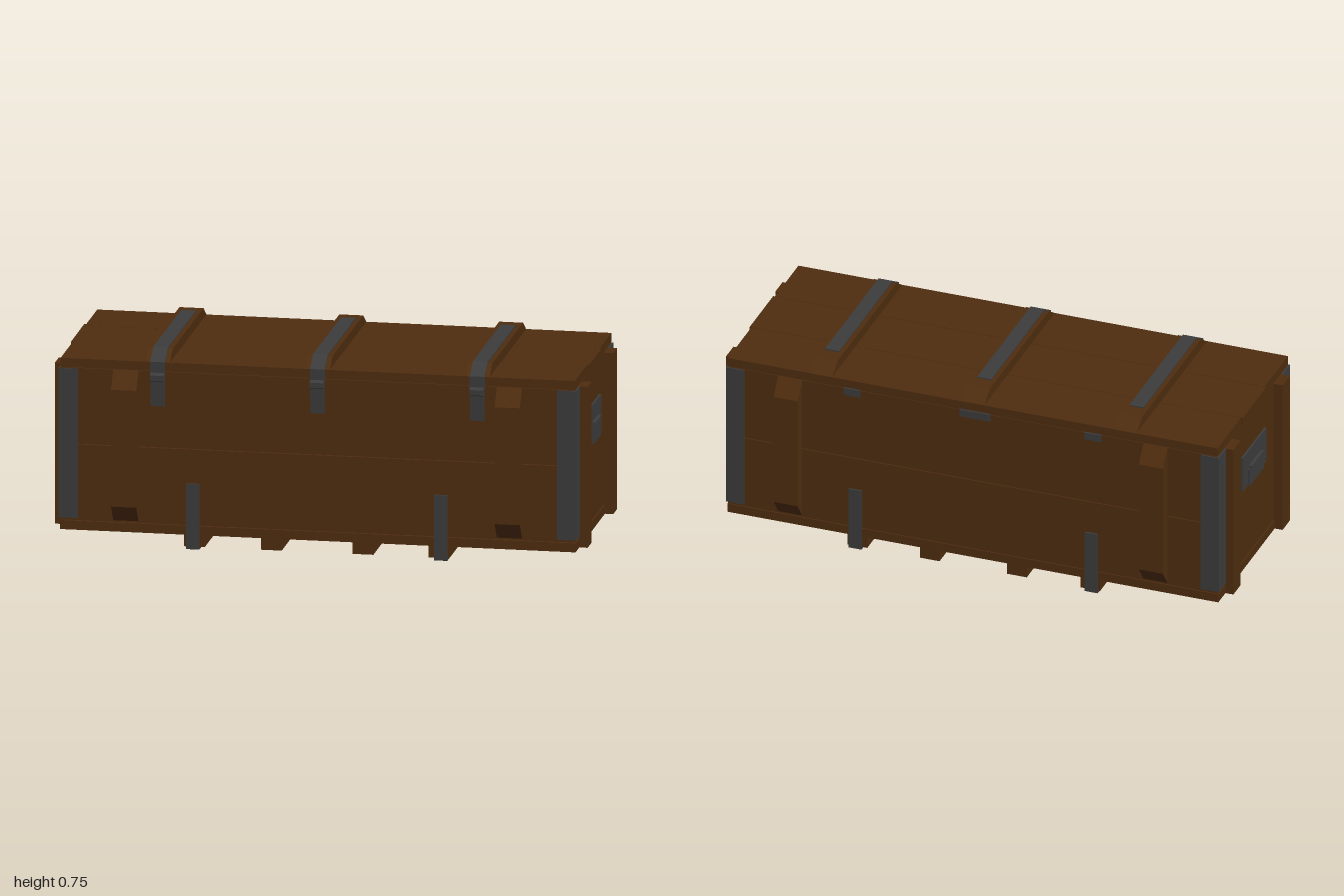
import * as THREE from 'three';

export function createModel() {
  const root = new THREE.Group();
  root.name = 'woodenCrate';
  const wood = new THREE.MeshStandardMaterial({ color: 0x4f2d0f });
  wood.name = 'brown wood';
  const metal = new THREE.MeshStandardMaterial({ color: 0x3c3c3c });
  metal.name = 'dark metal';

  const add = (name, geo, mat) => {
    const m = new THREE.Mesh(geo, mat);
    m.name = name;
    root.add(m);
    return m;
  };
  // box given by its limits on each axis
  const box = (name, mat, x0, x1, y0, y1, z0, z1) => {
    const m = add(name, new THREE.BoxGeometry(x1 - x0, y1 - y0, z1 - z0), mat);
    m.position.set((x0 + x1) / 2, (y0 + y1) / 2, (z0 + z1) / 2);
    return m;
  };
  // outline in (z, y), extruded along x around a centre
  const profile = (name, mat, pts, x, width) => {
    const shape = new THREE.Shape(pts.map(([z, y]) => new THREE.Vector2(-z, y)));
    const geo = new THREE.ExtrudeGeometry(shape, { depth: width, bevelEnabled: false });
    geo.translate(0, 0, -width / 2).rotateY(Math.PI / 2);
    return add(name, geo, mat).position.setX(x);
  };

  // lid and floor, three planks each
  for (const [z0, z1, end] of [[-0.37, -0.125, 0.965], [-0.123, 0.123, 0.972], [0.125, 0.37, 0.965]]) {
    box('lidPlank', wood, -end, end, 0.672, 0.706, z0, z1);
    box('floorPlank', wood, -0.968, 0.968, 0.054, 0.088, z0, z1);
  }

  // walls, two planks high
  for (const [y0, y1] of [[0.091, 0.379], [0.382, 0.67]]) {
    for (const s of [-1, 1]) {
      const zc = s * 0.355, xc = s * 0.95;
      box('longWallPlank', wood, -0.965, 0.965, y0, y1, zc - 0.015, zc + 0.015);
      box('endWallPlank', wood, xc - 0.015, xc + 0.015, y0, y1, -0.34, 0.34);
    }
  }

  // runners under the floor
  for (const x of [-0.463, -0.174, 0.17, 0.455])
    box('runner', wood, x - 0.039, x + 0.039, 0.01, 0.054, -0.37, 0.37);

  // metal straps wrapped under the outer runners
  for (const x of [-0.469, 0.462])
    profile('bottomStrap', metal, [
      [-0.377, 0.25], [-0.377, 0.002], [-0.372, 0], [0.372, 0], [0.377, 0.002], [0.377, 0.25],
      [0.37, 0.25], [0.37, 0.01], [-0.37, 0.01], [-0.37, 0.25],
    ], x, 0.05);

  // chamfered battens on the long walls
  for (const s of [-1, 1])
    for (const x of [-0.72, 0.72])
      profile('wallBatten', wood, [
        [s * 0.37, 0.097], [s * 0.417, 0.16], [s * 0.417, 0.605], [s * 0.37, 0.67],
      ], x, 0.095);

  for (const sx of [-1, 1]) {
    const bx = (name, mat, a, b, y0, y1, z0, z1) =>
      box(name, mat, Math.min(sx * a, sx * b), Math.max(sx * a, sx * b), y0, y1, z0, z1);
    for (const sz of [-1, 1]) {
      const [b0, b1] = sz > 0 ? [0.22, 0.297] : [-0.297, -0.22];
      bx('endBatten', wood, 0.965, 1, 0.055, 0.668, b0, b1);
      // angle iron on each corner
      const [p0, p1] = sz > 0 ? [0.298, 0.375] : [-0.375, -0.298];
      bx('cornerEndPlate', metal, 0.965, 0.972, 0.1, 0.668, p0, p1);
      const [f0, f1] = sz > 0 ? [0.37, 0.375] : [-0.375, -0.37];
      bx('cornerSidePlate', metal, 0.9, 0.965, 0.1, 0.668, f0, f1);
    }
    // carrying handle on its plate
    bx('handlePlate', metal, 0.965, 0.973, 0.396, 0.535, -0.123, 0.123);
    bx('handleFlap', metal, 0.973, 0.981, 0.393, 0.462, -0.073, 0.073);
    bx('handleHinge', metal, 0.973, 0.986, 0.462, 0.473, -0.063, 0.063);
    for (const z of [-0.1, 0.1])
      for (const y of [0.42, 0.512])
        bx('plateRivet', metal, 0.973, 0.976, y - 0.005, y + 0.005, z - 0.005, z + 0.005);
  }

  // lid battens with straps and front latches
  for (const x of [-0.6, 0, 0.6]) {
    profile('lidBatten', wood, [
      [-0.37, 0.706], [0.37, 0.706], [0.31, 0.745], [-0.31, 0.745],
    ], x, 0.09);
    profile('lidStrap', metal, [
      [-0.25, 0.745], [0.31, 0.745], [0.37, 0.706], [0.37, 0.665], [0.38, 0.665],
      [0.38, 0.709], [0.312, 0.75], [-0.25, 0.75],
    ], x, 0.055);
    profile('latch', metal, [
      [0.37, 0.54], [0.378, 0.54], [0.382, 0.635], [0.394, 0.64], [0.394, 0.66], [0.38, 0.668], [0.37, 0.668],
    ], x, 0.052);
  }

  // hinges along the back
  for (const [x, w] of [[-0.475, 0.065], [-0.01, 0.12], [0.475, 0.065]])
    box('hinge', metal, x - w / 2, x + w / 2, 0.645, 0.674, -0.377, -0.37);

  return root;
}
